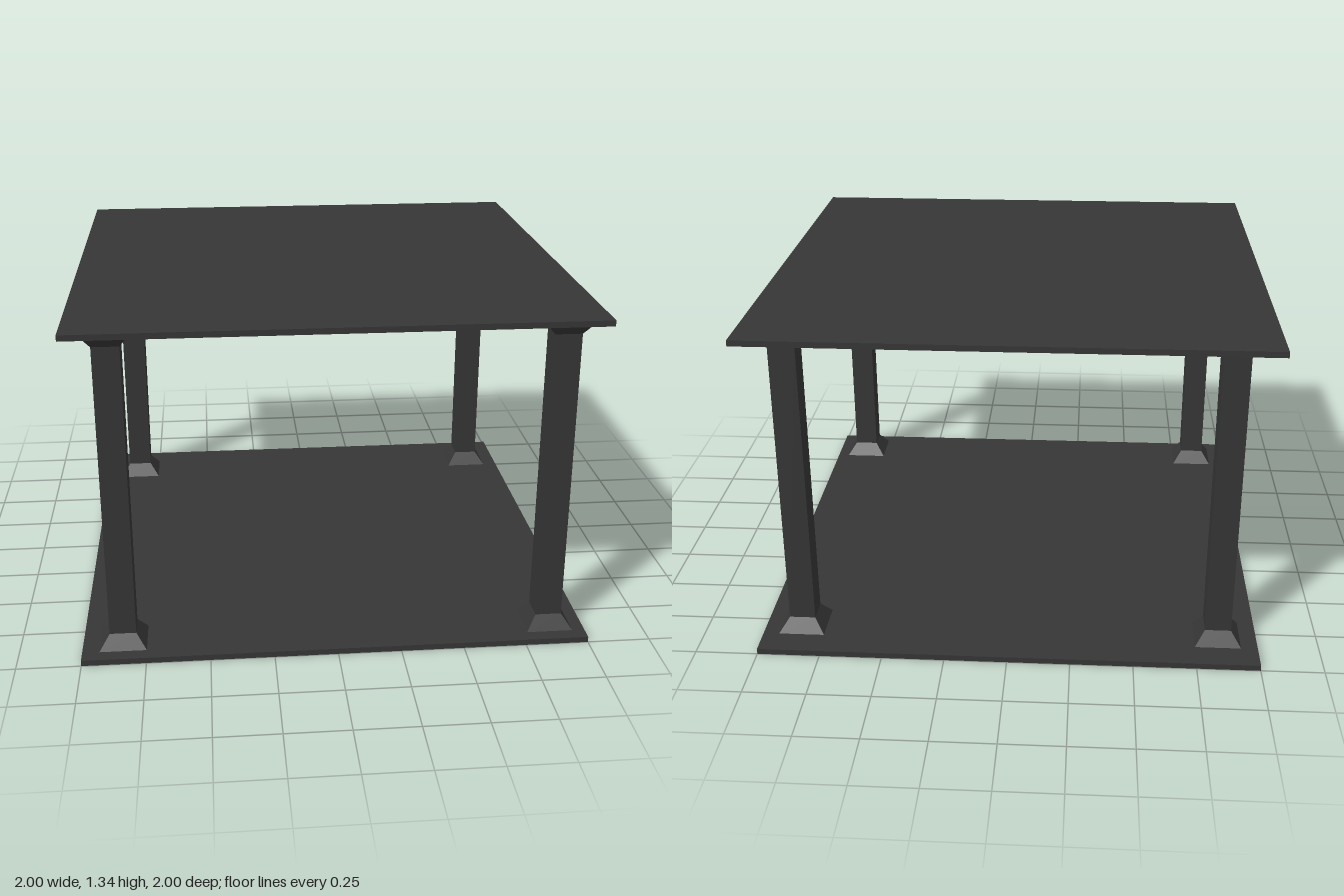
import * as THREE from 'three';

const charcoal = new THREE.MeshStandardMaterial({ color: 0x363636 });
charcoal.name = 'charcoal';

const HEIGHT = 1.343, PLATE = 0.023, FLARE = 0.056;
const POST = 0.104, FLARE_WIDTH = 0.184;

function add(parent, name, geometry, y) {
  const mesh = new THREE.Mesh(geometry, charcoal);
  mesh.name = name;
  mesh.position.y = y;
  parent.add(mesh);
  return mesh;
}

// Square tapered block, given its side lengths at top and bottom
function taperedBlock(top, bottom, height) {
  const g = new THREE.CylinderGeometry(top / Math.SQRT2, bottom / Math.SQRT2, height, 4);
  g.rotateY(Math.PI / 4);
  const flat = g.toNonIndexed();
  flat.computeVertexNormals();
  return flat;
}

export function createModel() {
  const model = new THREE.Group();
  model.name = 'twoTierTable';

  // Thin square shelf and table top
  const plate = new THREE.BoxGeometry(2, PLATE, 2);
  add(model, 'bottomShelf', plate, PLATE / 2);
  add(model, 'tableTop', plate, HEIGHT - PLATE / 2);

  // Four posts, each with a flared foot and head
  const shaftHeight = HEIGHT - 2 * (PLATE + FLARE);
  const shaft = new THREE.BoxGeometry(POST, shaftHeight, POST);
  const foot = taperedBlock(POST, FLARE_WIDTH, FLARE);
  const head = taperedBlock(FLARE_WIDTH, POST, FLARE);
  const posts = [
    ['frontLeftPost', 0.858, 0.852],
    ['frontRightPost', -0.841, 0.852],
    ['backLeftPost', 0.844, -0.795],
    ['backRightPost', -0.841, -0.795],
  ];
  for (const [name, x, z] of posts) {
    const post = new THREE.Group();
    post.name = name;
    post.position.set(x, 0, z);
    add(post, 'foot', foot, PLATE + FLARE / 2);
    add(post, 'shaft', shaft, HEIGHT / 2);
    add(post, 'head', head, HEIGHT - PLATE - FLARE / 2);
    model.add(post);
  }
  return model;
}
